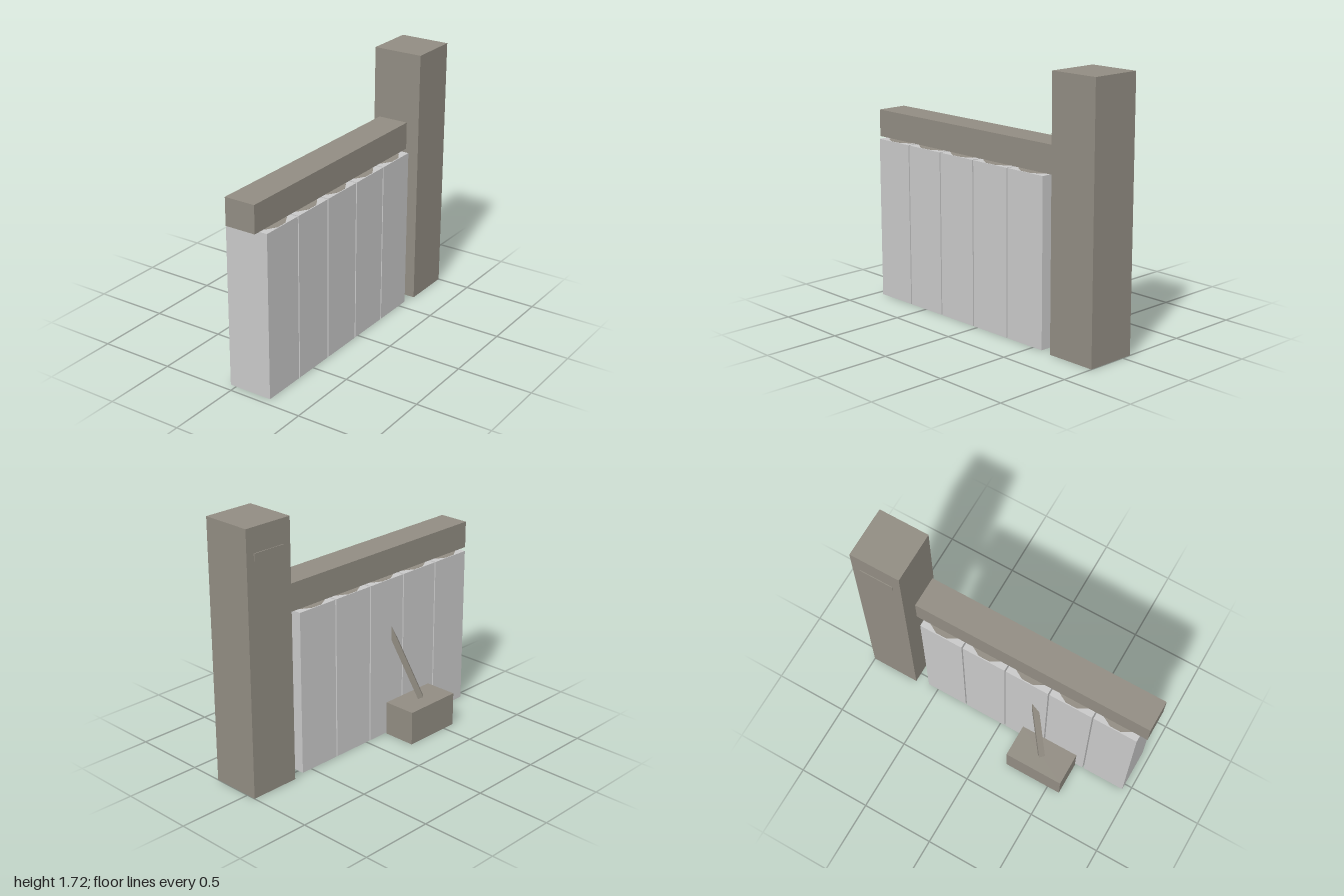
import * as THREE from 'three';

export function createModel() {
  const model = new THREE.Group();
  const stone = new THREE.MeshStandardMaterial({ color: 0x918c82 });
  stone.name = 'brown stone';
  const panelGrey = new THREE.MeshStandardMaterial({ color: 0xc8c8c8 });
  panelGrey.name = 'light grey panel';

  // Box given by its minimum and maximum on each axis
  function box(name, material, [x0, x1], [y0, y1], [z0, z1]) {
    const mesh = new THREE.Mesh(new THREE.BoxGeometry(x1 - x0, y1 - y0, z1 - z0), material);
    mesh.position.set((x0 + x1) / 2, (y0 + y1) / 2, (z0 + z1) / 2);
    mesh.name = name;
    model.add(mesh);
    return mesh;
  }

  // Tall column with a thin plate on its right side
  box('column', stone, [-0.065, 0.273], [0, 1.715], [-1, -0.663]);
  box('columnPlate', stone, [-0.07, -0.064], [1.512, 1.558], [-0.945, -0.72]);

  // Beam across the top
  box('beam', stone, [0, 0.208], [1.085, 1.265], [-0.623, 1]);

  // Row of upright panels, each with a round core showing at both ends
  const height = 1.08, width = 0.297, pitch = 0.3065, centreX = 0.107;
  const coreGeometry = new THREE.CylinderGeometry(0.146, 0.146, height + 0.001, 12);
  for (let i = 0; i < 5; i++) {
    const z = 0.8 - i * pitch;
    box('panel', panelGrey, [-0.041, 0.255], [0, height], [z - width / 2, z + width / 2]);
    const core = new THREE.Mesh(coreGeometry, stone);
    core.position.set(centreX, height / 2, z);
    core.rotation.y = Math.PI / 12;
    core.name = 'panelCore';
    model.add(core);
  }

  // Block with a leaning lever that runs into the panels
  box('leverBlock', stone, [-0.276, -0.051], [0, 0.228], [0.18, 0.588]);
  const bottom = new THREE.Vector3(-0.165, 0.236, 0.384);
  const top = new THREE.Vector3(0.005, 0.81, 0.214);
  const lever = new THREE.Mesh(new THREE.BoxGeometry(0.037, bottom.distanceTo(top), 0.04), stone);
  lever.position.copy(bottom).add(top).multiplyScalar(0.5);
  // Turn towards the rear corner, then lean
  lever.rotation.order = 'YXZ';
  lever.rotation.y = Math.PI / 4;
  lever.rotation.z = -Math.atan2(Math.hypot(top.x - bottom.x, top.z - bottom.z), top.y - bottom.y);
  lever.name = 'lever';
  model.add(lever);

  return model;
}
